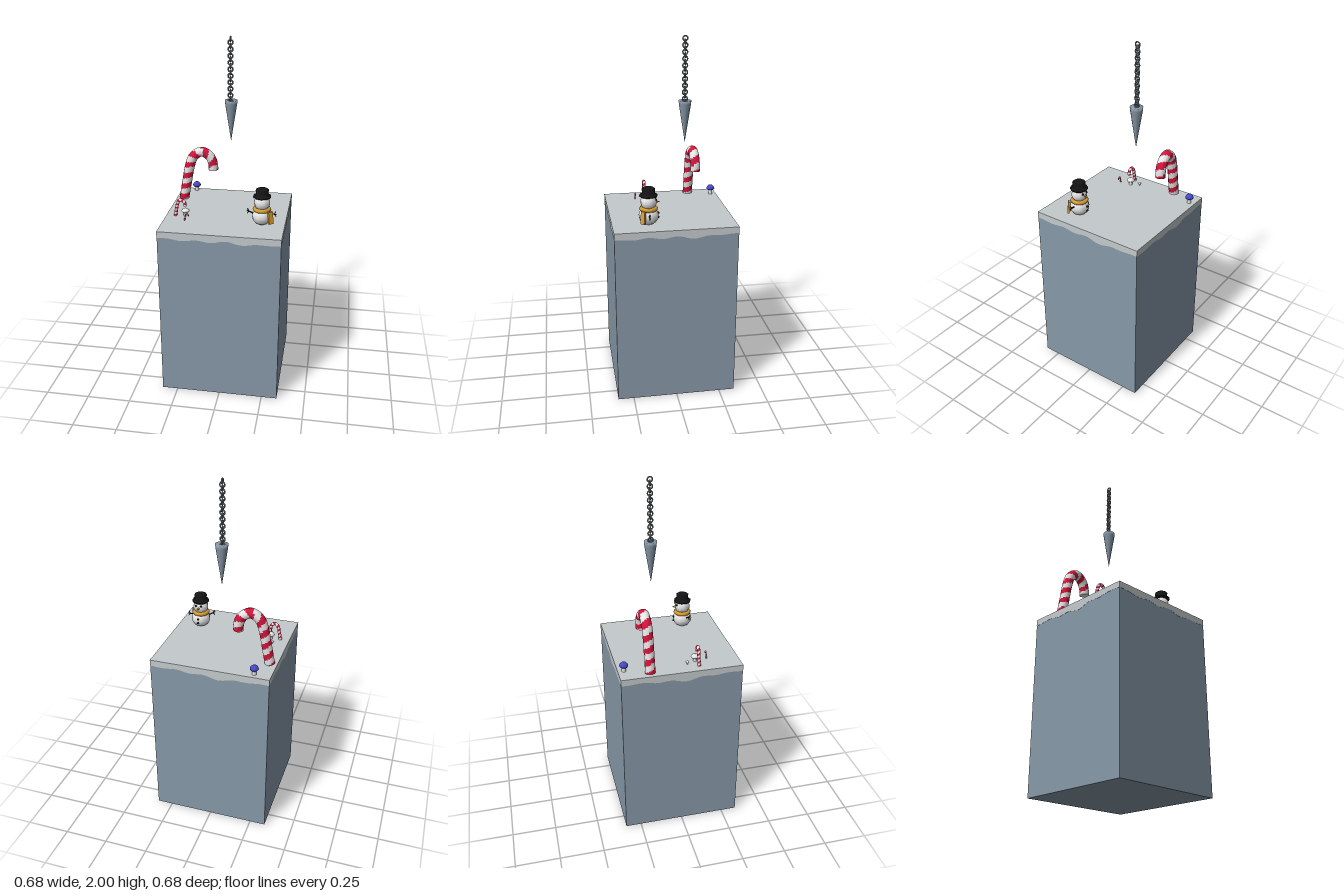
import * as THREE from 'three';

const mat = (name, color) => new THREE.MeshStandardMaterial({ name, color });

export function createModel() {
  const model = new THREE.Group();
  const ice = mat('ice blue', 0x8799a8), snow = mat('snow grey', 0xc4cacc), white = mat('white', 0xe8e8e8);
  const red = mat('candy red', 0xd4143c), black = mat('black', 0x151515), gold = mat('gold', 0xd99f35);
  const blue = mat('cap blue', 0x4848d0), steel = mat('steel', 0x7c878f);
  const GROUND = 1.02;

  const group = (name, x, y, z, parent = model) => {
    const g = new THREE.Group();
    g.name = name;
    g.position.set(x, y, z);
    parent.add(g);
    return g;
  };
  const add = (parent, name, geo, material, x = 0, y = 0, z = 0) => {
    const m = new THREE.Mesh(geo, material);
    m.name = name;
    m.position.set(x, y, z);
    parent.add(m);
    return m;
  };
  const V = (x, y, z = 0) => new THREE.Vector3(x, y, z);
  // straight rod between two points
  const rod = (parent, name, a, b, r0, r1, material) => {
    const d = b.clone().sub(a);
    const m = add(parent, name, new THREE.CylinderGeometry(r1, r0, d.length(), 6), material);
    m.position.copy(a).add(b).multiplyScalar(0.5);
    m.quaternion.setFromUnitVectors(V(0, 1), d.normalize());
    return m;
  };

  // ice block with a snow sheet and wavy snow edges
  add(model, 'iceBlock', new THREE.BoxGeometry(0.678, 1.016, 0.678), ice, 0, 0.508, 0);
  add(model, 'snowTop', new THREE.BoxGeometry(0.68, 0.008, 0.68), snow, 0, 1.016, 0);
  for (let s = 0; s < 4; s++) {
    const shape = new THREE.Shape();
    shape.moveTo(0.34, GROUND);
    shape.lineTo(-0.34, GROUND);
    for (let i = 0; i <= 40; i++) {
      const t = i / 40, a = t * Math.PI * 2;
      const y = 0.98 + 0.007 * Math.sin(a * 4 + s * 1.3) * Math.sin(a / 2)
        - 0.006 * Math.sin(a * 1.5 + s) * Math.sin(a / 2) + 0.004 * Math.cos(a);
      shape.lineTo(-0.34 + 0.68 * t, y);
    }
    const geo = new THREE.ExtrudeGeometry(shape, { depth: 0.003, bevelEnabled: false });
    geo.translate(0, 0, 0.337);
    add(model, 'snowEdge', geo, snow).rotation.y = s * Math.PI / 2;
  }

  // hooked candy canes with spiral stripes
  const hook = new THREE.CatmullRomCurve3([
    V(0, 0), V(0.02, 0.11), V(0.037, 0.2), V(0.06, 0.262), V(0.106, 0.294),
    V(0.15, 0.275), V(0.173, 0.235), V(0.179, 0.185)]);
  const TUB = 84, RAD = 12;
  const caneGeo = new THREE.TubeGeometry(hook, TUB, 0.029, RAD);
  const src = Array.from(caneGeo.index.array), sides = [[], []];
  for (let q = 0; q < TUB * RAD; q++) {
    const phase = Math.floor(q / RAD) / TUB * 7 + (q % RAD) / RAD;
    sides[phase % 1 < 0.5 ? 1 : 0].push(...src.slice(q * 6, q * 6 + 6));
  }
  caneGeo.setIndex(sides.flat());
  caneGeo.addGroup(0, sides[0].length, 0);
  caneGeo.addGroup(sides[0].length, sides[1].length, 1);
  const cane = (name, x, z, scale, turn) => {
    const g = group(name, x, GROUND, z);
    g.scale.setScalar(scale);
    g.rotation.y = turn;
    add(g, 'stripedStick', caneGeo, [white, red]);
    const end = add(g, 'caneEnd', new THREE.CircleGeometry(0.029, RAD), white, 0.179, 0.185, 0);
    end.quaternion.setFromUnitVectors(V(0, 0, 1), hook.getTangent(1));
  };
  cane('largeCane', -0.297, -0.171, 1, 0.07);
  cane('smallCane', -0.288, 0.103, 0.33, -0.06);
  cane('tinyCane', -0.222, 0.163, 0.13, 0);

  // mushrooms: stem and domed cap
  const mushroom = (name, x, z, r, h, capMat) => {
    const g = group(name, x, GROUND, z);
    add(g, 'stem', new THREE.CylinderGeometry(r * 0.42, r * 0.48, h * 0.6, 8), white, 0, h * 0.3, 0);
    const cap = [[0, 0.5], [0.8, 0.48], [1, 0.62], [0.85, 0.8], [0.5, 0.95], [0, 1]]
      .map(([a, b]) => new THREE.Vector2(a * r, b * h));
    add(g, 'cap', new THREE.LatheGeometry(cap, 9), capMat);
  };
  mushroom('blueMushroom', -0.247, -0.306, 0.025, 0.057, blue);
  mushroom('whiteMushroom', -0.231, 0.095, 0.024, 0.044, white);
  mushroom('tinyMushroom', -0.254, 0.046, 0.01, 0.02, white);

  // snowman facing the back
  const man = group('snowman', 0.21, GROUND, 0.138);
  const ball = (r) => new THREE.SphereGeometry(r, 10, 8);
  add(man, 'body', ball(0.056), white, 0, 0.047, 0).scale.y = 0.92;
  add(man, 'head', ball(0.045), white, 0, 0.125, 0);
  const brim = [[0, 0.158], [0.05, 0.158], [0.05, 0.166], [0.034, 0.17], [0.037, 0.2], [0.028, 0.206], [0, 0.206]]
    .map(([a, b]) => new THREE.Vector2(a, b));
  add(man, 'hat', new THREE.LatheGeometry(brim, 10), black);
  const scarf = add(man, 'scarf', new THREE.TorusGeometry(0.04, 0.012, 6, 12), gold, 0, 0.088, 0);
  scarf.rotation.x = Math.PI / 2;
  const tail = add(man, 'scarfTail', new THREE.BoxGeometry(0.028, 0.07, 0.012), gold, 0.052, 0.052, 0.036);
  tail.rotation.set(-0.15, 0.7, 0.12);
  rod(man, 'nose', V(0, 0.125, -0.04), V(0.003, 0.123, -0.062), 0.008, 0.0005, gold);
  for (const s of [-1, 1]) {
    add(man, 'eye', ball(0.006), black, s * 0.016, 0.14, -0.039);
    // twig arm with two fingers
    const tip = V(s * 0.08, s < 0 ? 0.085 : 0.06, s < 0 ? 0.026 : 0.006);
    const start = V(s * 0.045, 0.065, s < 0 ? 0.016 : -0.002);
    rod(man, 'arm', start, tip, 0.004, 0.003, black);
    const joint = start.clone().lerp(tip, 0.7);
    rod(man, 'finger', joint, joint.clone().add(V(s * 0.008, 0.018)), 0.003, 0.002, black);
    rod(man, 'finger', joint, joint.clone().add(V(s * 0.01, -0.014)), 0.003, 0.002, black);
  }
  for (const y of [0.035, 0.06]) add(man, 'button', ball(0.006), black, 0, y, -0.054);

  // hanging spike on a chain of alternating links
  const hanger = group('hangingSpike', 0, 0, -0.097);
  const spike = [[0, 1.415], [0.034, 1.63], [0.036, 1.65], [0, 1.645]].map(([a, b]) => new THREE.Vector2(a, b));
  add(hanger, 'spike', new THREE.LatheGeometry(spike, 12), ice);
  const linkGeo = new THREE.TorusGeometry(0.0135, 0.004, 6, 12);
  for (let i = 0; i < 20; i++) {
    const link = add(hanger, 'chainLink', linkGeo, steel, -0.004, 1.9825 - i * 0.018, 0);
    link.rotation.y = i % 2 ? 0 : Math.PI / 2;
  }
  return model;
}
